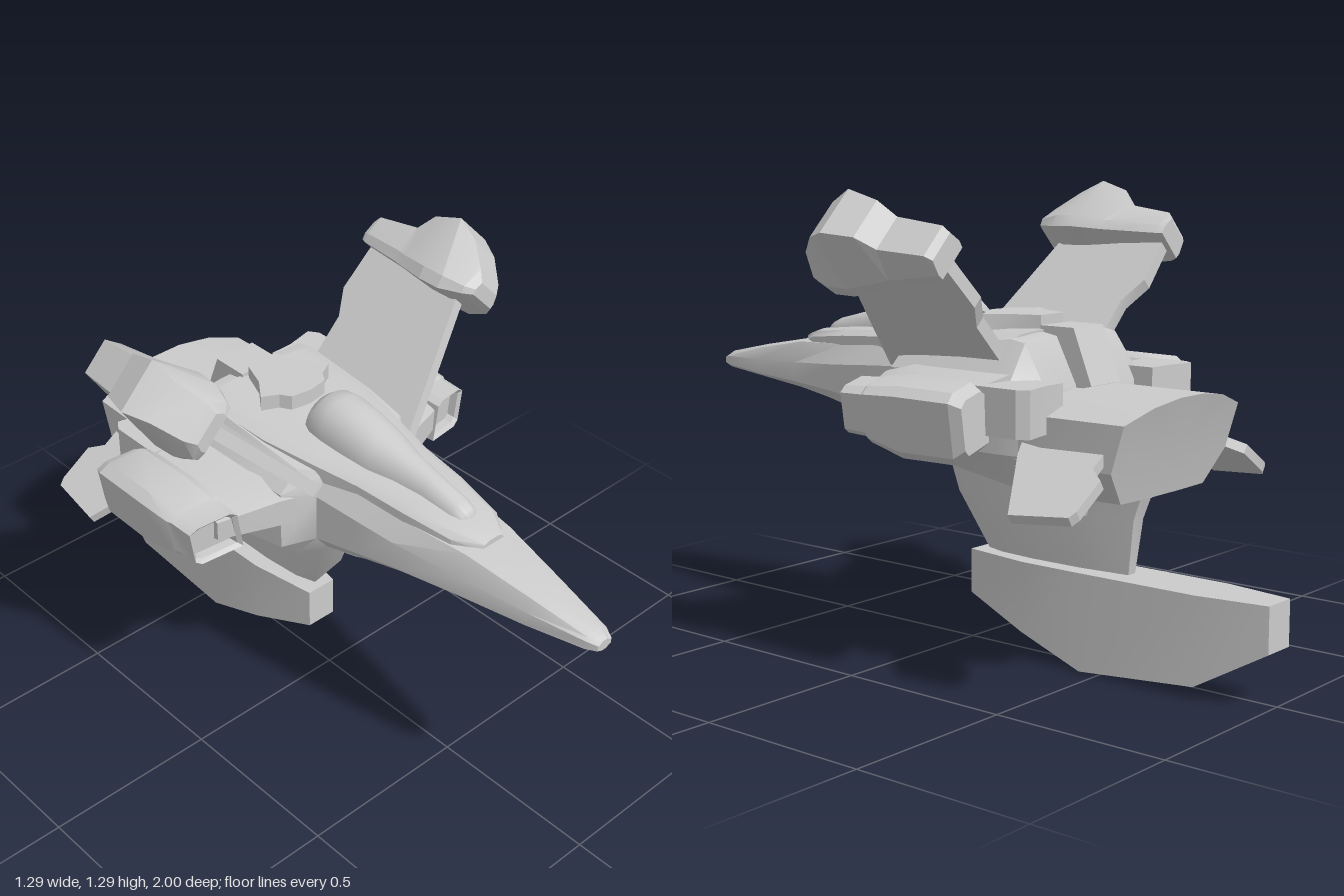
import * as THREE from 'three';
import { toCreasedNormals } from 'three/addons/utils/BufferGeometryUtils.js';

const material = new THREE.MeshStandardMaterial({ color: 0xcccccc });
const CREASE = 0.5;

// Skin a row of equal-length rings of [x, y, z] points and cap both ends.
function loft(rings, crease = CREASE) {
  const pos = [];
  const tri = (a, b, c) => pos.push(...a, ...b, ...c);
  const n = rings[0].length;
  for (let i = 0; i < rings.length - 1; i++) {
    for (let j = 0; j < n; j++) {
      const k = (j + 1) % n, p = rings[i], q = rings[i + 1];
      tri(p[j], p[k], q[k]);
      tri(p[j], q[k], q[j]);
    }
  }
  const cap = (ring, flip) => {
    const c = [0, 1, 2].map(a => ring.reduce((s, p) => s + p[a], 0) / n);
    ring.forEach((p, j) => {
      const q = ring[(j + 1) % n];
      if (flip) tri(c, q, p); else tri(c, p, q);
    });
  };
  cap(rings[0], true);
  cap(rings[rings.length - 1], false);
  // a negative volume means the corners run inwards
  let volume = 0;
  const v = i => new THREE.Vector3().fromArray(pos, i);
  for (let i = 0; i < pos.length; i += 9) volume += v(i).dot(v(i + 3).cross(v(i + 6)));
  return finish(pos, volume < 0, crease);
}

// Build the geometry, swapping two corners of each triangle when flipped.
function finish(pos, flip, crease) {
  if (flip) {
    for (let i = 0; i < pos.length; i += 9) {
      for (let a = 3; a < 6; a++) [pos[i + a], pos[i + a + 3]] = [pos[i + a + 3], pos[i + a]];
    }
  }
  const g = new THREE.BufferGeometry();
  g.setAttribute('position', new THREE.Float32BufferAttribute(pos, 3));
  return toCreasedNormals(g, crease);
}

function mirror(geometry) {
  const pos = Array.from(geometry.attributes.position.array, (v, i) => (i % 3 === 0 ? -v : v));
  return finish(pos, true, CREASE);
}

// Symmetric ring at z from half-profile points, listed bottom to top.
const symmetric = (z, half) => [
  ...half.map(([x, y]) => [x, y, z]),
  ...half.slice().reverse().map(([x, y]) => [-x, y, z]),
];

// Solid between two copies of an outline; place(a, b, t) maps it into space.
const slab = (outline, t0, t1, place) =>
  loft([t0, t1].map(t => outline.map(([a, b]) => place(a, b, t))), 0.3);

export function createModel() {
  const model = new THREE.Group();
  const add = (name, geometry) => {
    const mesh = new THREE.Mesh(geometry, material);
    mesh.name = name;
    model.add(mesh);
  };
  const addPair = (name, geometry) => {
    add(name + 'Left', geometry);
    add(name + 'Right', mirror(geometry));
  };

  // Fuselage: z, half width, bottom, lower chine, upper chine, top
  add('fuselage', loft([
    [1.0, 0.025, 0.705, 0.712, 0.728, 0.735],
    [0.97, 0.04, 0.697, 0.71, 0.735, 0.75],
    [0.8, 0.074, 0.685, 0.7, 0.742, 0.785],
    [0.6, 0.11, 0.67, 0.695, 0.752, 0.82],
    [0.4, 0.145, 0.645, 0.685, 0.765, 0.83],
    [0.28, 0.16, 0.62, 0.668, 0.775, 0.842],
    [0.14, 0.175, 0.585, 0.645, 0.785, 0.855],
    [0.08, 0.25, 0.565, 0.62, 0.795, 0.86],
    [-0.05, 0.262, 0.54, 0.6, 0.8, 0.88],
    [-0.3, 0.265, 0.5, 0.6, 0.8, 0.903],
    [-0.345, 0.262, 0.495, 0.6, 0.79, 0.895],
    [-0.41, 0.25, 0.495, 0.6, 0.74, 0.77],
  ].map(([z, w, b, l, u, t]) =>
    symmetric(z, [[w * 0.3, b], [w * 0.75, b + 0.005], [w, l], [w, u], [w * 0.76, t - 0.008], [w * 0.35, t]]))));

  // Raised deck around the cockpit: z, half width, base, top
  add('upperDeck', loft([
    [0.62, 0.04, 0.79, 0.832],
    [0.55, 0.085, 0.78, 0.852],
    [0.4, 0.112, 0.79, 0.868],
    [0.25, 0.128, 0.8, 0.878],
    [0.1, 0.16, 0.8, 0.888],
    [-0.05, 0.192, 0.8, 0.9],
    [-0.3, 0.202, 0.8, 0.91],
  ].map(([z, w, b, t]) => symmetric(z, [[w, b], [w, t - 0.022], [w * 0.8, t - 0.006], [w * 0.4, t]]))));

  // Belly fairing: z, half width, bottom
  add('belly', loft([
    [0.64, 0.04, 0.665], [0.5, 0.075, 0.642], [0.27, 0.1, 0.595], [0.24, 0.12, 0.575],
    [0.1, 0.14, 0.55], [-0.1, 0.17, 0.52], [-0.42, 0.19, 0.49], [-0.6, 0.17, 0.495],
  ].map(([z, w, b]) => symmetric(z, [[w * 0.6, b], [w, b + 0.035], [w, 0.68]]))));

  // Canopy with steep sides and a blunt back: z, half width, base, top
  const arc = (z, w, base, top) => Array.from({ length: 17 }, (_, i) => {
    const a = (i / 16) * Math.PI;
    return [w * Math.cos(a), base + (top - base) * Math.sin(a) ** 0.75, z];
  });
  add('canopy', loft([
    [-0.02, 0.05, 0.86, 0.93], [-0.012, 0.08, 0.86, 0.96], [0.015, 0.09, 0.86, 0.98],
    [0.06, 0.092, 0.86, 0.986], [0.14, 0.088, 0.85, 0.976], [0.23, 0.08, 0.84, 0.952],
    [0.31, 0.06, 0.835, 0.929], [0.4, 0.048, 0.83, 0.91], [0.5, 0.043, 0.825, 0.885],
    [0.53, 0.036, 0.82, 0.872], [0.542, 0.018, 0.82, 0.855],
  ].map(s => arc(...s)), 0.8));

  // Tail block with a bowed top and a raked rear face
  const tail = (zTop, zBottom, w) => {
    const half = [[0.06, 0.5], [w * 0.72, 0.5], [w, 0.59], [w, 0.715], [w * 0.6, 0.75], [w * 0.2, 0.765]];
    return symmetric(0, half).map(([x, y]) => {
      const bow = 0.012 * (1 - (x / w) ** 2);
      return [x, y, THREE.MathUtils.mapLinear(y, 0.5, 0.765, zBottom, zTop) - bow];
    });
  };
  add('tailBlock', loft([tail(-0.35, -0.35, 0.255), tail(-0.45, -0.45, 0.268), tail(-0.72, -0.64, 0.262)]));

  // Spine box, deck plate and small blocks
  add('spineBox', slab(
    [[-0.29, 0.85], [-0.29, 0.92], [-0.4, 0.92], [-0.46, 0.77], [-0.38, 0.75]],
    -0.065, 0.065, (z, y, x) => [x, y, z]));
  add('deckPlate', slab(
    [[0, -0.075], [0.06, -0.085], [0.08, -0.115], [0.125, -0.14], [0.08, -0.2], [0.05, -0.28],
      [-0.05, -0.28], [-0.08, -0.2], [-0.125, -0.14], [-0.08, -0.115], [-0.06, -0.085]],
    0.88, 0.945, (x, z, y) => [x, y, z]));
  addPair('bellyBlock', slab(
    [[-0.39, 0.51], [-0.42, 0.44], [-0.49, 0.44], [-0.51, 0.51]],
    0.12, 0.18, (z, y, x) => [x, y, z]));

  // Upper diagonal wings: local u runs outward, v across
  const diagonal = (u, v, z) => [0.455 + 0.7 * (u + v), 1.09 + 0.714 * (u - v), z];
  addPair('upperWing', slab(
    [[-0.4, 0.14], [0.03, 0.03], [0.03, -0.32], [-0.12, -0.33], [-0.2, -0.29], [-0.4, -0.29]],
    -0.018, 0.018, (u, z, v) => diagonal(u, v, z)));

  // Upper wing tip pods, flaring to a hem and narrowing aft: z, bottom, hem, top, hem half width, top half width
  addPair('upperPod', loft([
    [0.105, 0.03, 0.045, 0.07, 0.055, 0.045],
    [0.085, 0.015, 0.035, 0.1, 0.082, 0.055],
    [0.02, -0.005, 0.03, 0.165, 0.105, 0.06],
    [-0.05, -0.005, 0.03, 0.2, 0.108, 0.074],
    [-0.14, 0.005, 0.035, 0.175, 0.088, 0.062],
    [-0.18, 0.01, 0.04, 0.125, 0.08, 0.055],
    [-0.32, 0.02, 0.045, 0.105, 0.062, 0.05],
    [-0.335, 0.025, 0.045, 0.085, 0.056, 0.046],
  ].map(([z, b, h, t, w, tw]) => [
    [b, -w * 0.92], [h, -w], [t, -tw], [t, tw], [h, w], [b, w * 0.95],
  ].map(([u, v]) => diagonal(u, v, z))), 0.25));

  // Wing roots joining the body to the engines
  addPair('wingRoot', loft([
    [0.18, 0.12, -0.34, 0.68, 0.81], [0.26, 0.09, -0.34, 0.685, 0.81], [0.42, 0.02, -0.33, 0.68, 0.78],
  ].map(([x, f, r, b, t]) => [
    [x, b + 0.02, f], [x, t - 0.025, f], [x, t, f - 0.1], [x, t, r], [x, b, r], [x, b, f - 0.1],
  ]), 0.3));
  addPair('wingRearBlock', slab(
    [[0.2, -0.3], [0.38, -0.3], [0.38, -0.46], [0.36, -0.49], [0.27, -0.47], [0.2, -0.47]],
    0.67, 0.795, (x, z, y) => [x, y, z]));

  // Engine pods with a recessed intake, tilted slightly: z, half width, half height, y offset
  const tilt = new THREE.Matrix4().makeRotationZ(-0.15).setPosition(0.435, 0.71, 0);
  const enginePods = loft([
    [0, 0.055, 0.05, 0.01], [0.025, 0.058, 0.052, 0.01], [0.035, 0.068, 0.063, 0.01],
    [-0.04, 0.07, 0.066, 0.01], [-0.05, 0.076, 0.074, 0.006], [-0.16, 0.08, 0.094, -0.004],
    [-0.34, 0.078, 0.092, -0.004], [-0.375, 0.065, 0.07, 0],
  ].map(([z, w, h, y]) => [
    [-w, -h], [w * 0.75, -h], [w, -h * 0.75], [w, h * 0.8], [w * 0.6, h], [-w * 0.7, h], [-w, h * 0.8],
  ].map(([px, py]) => [px, py + y, z - px * 0.25])), 0.25);
  addPair('enginePod', enginePods.applyMatrix4(tilt));

  // Drooping lower fins
  addPair('lowerFin', slab(
    [[0.22, -0.37], [0.29, -0.4], [0.465, -0.51], [0.445, -0.68], [0.425, -0.69],
      [0.33, -0.69], [0.3, -0.645], [0.22, -0.645]],
    -0.014, 0.014, (x, z, t) => [x + t * 0.5, 0.63 - 0.65 * (x - 0.25) + t * 0.85, z]));

  // Pylon: y, front, rear, half width
  add('pylon', loft([
    [0.58, 0.12, -0.62, 0.06], [0.5, 0.08, -0.6, 0.05], [0.42, 0.05, -0.57, 0.045],
    [0.26, -0.07, -0.55, 0.03],
  ].map(([y, f, r, w]) => [
    [0, f], [w * 0.65, f - 0.06], [w, f - 0.18], [w, r + 0.15], [w * 0.5, r],
    [-w * 0.5, r], [-w, r + 0.15], [-w, f - 0.18], [-w * 0.65, f - 0.06],
  ].map(([x, z]) => [x, y, z]))));

  // Hanging keel pod: z, half width, bottom
  add('keelPod', loft([
    [-0.035, 0.047, 0.145], [-0.24, 0.08, 0.073], [-0.44, 0.082, 0],
    [-0.8, 0.08, 0.03], [-1, 0.05, 0.145],
  ].map(([z, w, b]) => symmetric(z, [[w, b], [w, 0.27]])), 0.15));

  return model;
}
